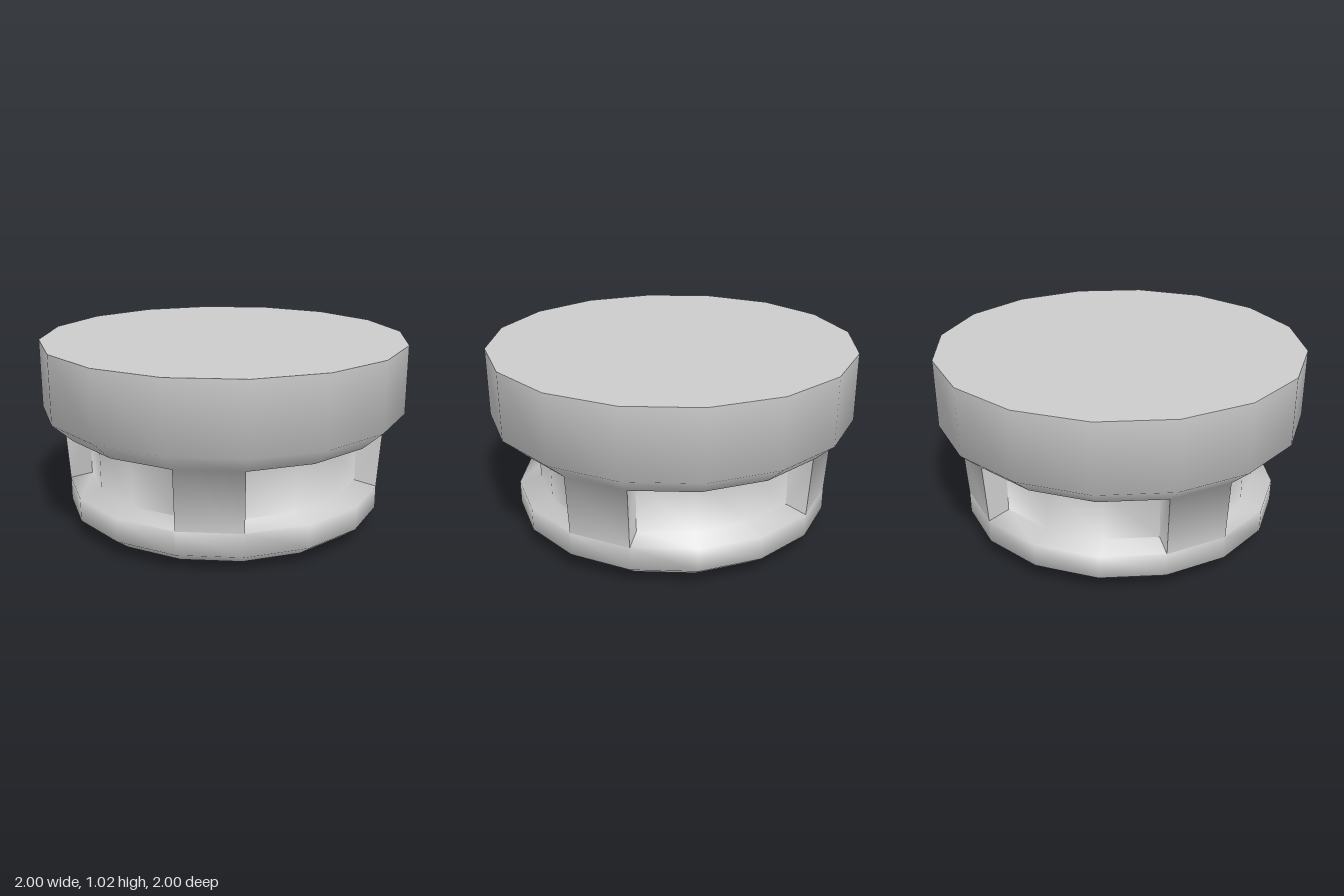
import * as THREE from 'three';
import { toCreasedNormals } from 'three/addons/utils/BufferGeometryUtils.js';

const SIDES = 16;

// Profile points [radius, height], listed from the top centre to the bottom centre
const lid = [[0, 1.02], [1, 1.02], [1, 0.65], [0.89, 0.55]];
const recess = [[0.75, 0.53], [0.75, 0.25]];
const base = [[0.87, 0.225], [0.87, 0.1], [0.79, 0.04], [0.56, 0], [0, 0]];
const postProfile = [...lid, ...base];
const recessProfile = [...lid, ...recess, ...base];

// Point of the profile turned to side k, counted from the front towards +x
function ringPoint([r, y], k) {
  const a = (k / SIDES) * Math.PI * 2;
  return [r * Math.sin(a), y, r * Math.cos(a)];
}

function buildBody() {
  const positions = [];
  const tri = (...points) => points.forEach((p) => positions.push(...p));
  const quad = (a, b, c, d) => { tri(a, b, c); tri(a, c, d); };

  for (let k = 0; k < SIDES; k++) {
    // Every fourth side is a post, the others form the recessed waist
    const isPost = k % 4 === 1;
    const profile = isPost ? postProfile : recessProfile;
    for (let i = 0; i < profile.length - 1; i++) {
      const a = ringPoint(profile[i], k);
      const b = ringPoint(profile[i + 1], k);
      const c = ringPoint(profile[i + 1], k + 1);
      const d = ringPoint(profile[i], k + 1);
      if (profile[i][0] === 0) tri(a, b, c);
      else if (profile[i + 1][0] === 0) tri(a, b, d);
      else quad(a, b, c, d);
    }
    // Radial walls on both flanks of the post
    if (isPost) {
      const flank = [lid[3], recess[0], recess[1], base[0]];
      quad(...flank.map((p) => ringPoint(p, k)));
      quad(...flank.map((p) => ringPoint(p, k + 1)).reverse());
    }
  }

  const geometry = new THREE.BufferGeometry();
  geometry.setAttribute('position', new THREE.Float32BufferAttribute(positions, 3));
  return toCreasedNormals(geometry, THREE.MathUtils.degToRad(80));
}

export function createModel() {
  const group = new THREE.Group();
  group.name = 'roundPedestal';
  const body = new THREE.Mesh(buildBody(), new THREE.MeshStandardMaterial({ color: 0xcccccc }));
  body.name = 'body';
  group.add(body);
  return group;
}
